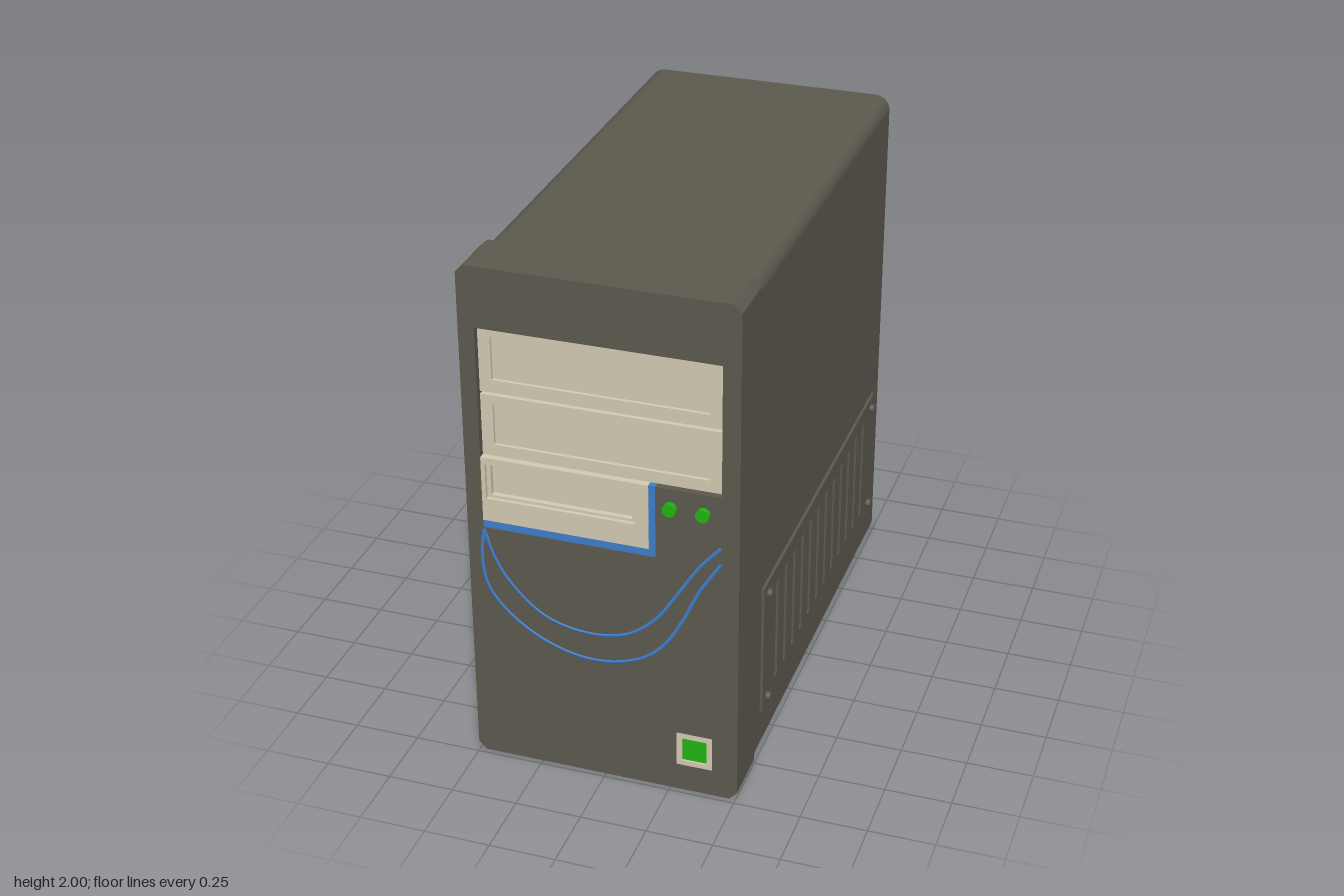
import * as THREE from 'three';

const mat = (color) => new THREE.MeshStandardMaterial({ color });
const CASE = mat(0x5c594e), CREAM = mat(0xd3cbb2), BLUE = mat(0x3f7fcc), GREEN = mat(0x1fb512);

function add(parent, name, geometry, material, x = 0, y = 0, z = 0) {
  const mesh = new THREE.Mesh(geometry, material);
  mesh.name = name;
  mesh.position.set(x, y, z);
  parent.add(mesh);
  return mesh;
}

const polygon = (Type, points) => new Type(points.map(([x, y]) => new THREE.Vector2(x, y)));
const rect = (Type, x0, x1, y0, y1) => polygon(Type, [[x0, y0], [x1, y0], [x1, y1], [x0, y1]]);
const extrude = (shape, depth, curveSegments = 10) =>
  new THREE.ExtrudeGeometry(shape, { depth, bevelEnabled: false, curveSegments });

// Box given by its limits
function block(parent, name, material, x0, x1, y0, y1, z0, z1) {
  return add(parent, name, new THREE.BoxGeometry(x1 - x0, y1 - y0, z1 - z0), material,
    (x0 + x1) / 2, (y0 + y1) / 2, (z0 + z1) / 2);
}

// Plate with a rectangular opening; outer and inner are [x0, x1, y0, y1]
function frame(parent, name, material, outer, inner, z0, z1) {
  const shape = rect(THREE.Shape, ...outer);
  shape.holes.push(rect(THREE.Path, ...inner));
  return add(parent, name, extrude(shape, z1 - z0), material, 0, 0, z0);
}

// Main case: rounded top edges, small chamfers below
function buildBody(root) {
  const w = 0.495, top = 1.988, r = 0.06;
  const s = new THREE.Shape();
  s.moveTo(-w + 0.02, 0.015);
  s.lineTo(w - 0.02, 0.015);
  s.lineTo(w, 0.035);
  s.lineTo(w, top - r);
  s.absarc(w - r, top - r, r, 0, Math.PI / 2, false);
  s.absarc(-w + r, top - r, r, Math.PI / 2, Math.PI, false);
  s.lineTo(-w, 0.035);
  add(root, 'caseBody', extrude(s, 1.78), CASE, 0, 0, -1);
}

// Front bezel: chamfered outline with openings for the drives and the button
function buildBezel(root) {
  const w = 0.505, c = 0.03;
  const s = polygon(THREE.Shape, [[-w + c, 0], [w - c, 0], [w, c], [w, 2 - c],
    [w - c, 2], [-w + c, 2], [-w, 2 - c], [-w, c]]);
  s.holes.push(polygon(THREE.Path, [[-0.445, 0.98], [0.2, 0.98], [0.2, 1.265],
    [0.44, 1.265], [0.44, 1.77], [-0.445, 1.77]]));
  s.holes.push(rect(THREE.Path, 0.275, 0.41, 0.11, 0.25));
  add(root, 'frontBezel', extrude(s, 0.215), CASE, 0, 0, 0.765);
}

function buildDrives(root) {
  // Two wide bay covers, set back in the bezel
  for (const [y0, y1, i0, i1] of [[1.515, 1.77, 1.565, 1.73], [1.265, 1.505, 1.31, 1.47]]) {
    frame(root, 'bayCover', CREAM, [-0.445, 0.44, y0, y1], [-0.4, 0.39, i0, i1], 0.92, 0.955);
    block(root, 'bayPanel', CREAM, -0.42, 0.42, y0 + 0.02, y1 - 0.02, 0.9, 0.942);
  }
  block(root, 'bayGap', CASE, -0.445, 0.44, 1.5, 1.52, 0.9, 0.935);

  // Narrow drive with a stepped slot and a blue L-shaped trim
  frame(root, 'smallDriveCover', CREAM, [-0.445, 0.175, 1.01, 1.265],
    [-0.43, 0.125, 1.1, 1.24], 0.9, 0.98);
  frame(root, 'smallDriveStep', CREAM, [-0.435, 0.13, 1.095, 1.245],
    [-0.415, 0.11, 1.11, 1.23], 0.9, 0.965);
  block(root, 'smallDriveSlot', CREAM, -0.43, 0.12, 1.1, 1.24, 0.89, 0.945);
  const trim = polygon(THREE.Shape, [[-0.445, 0.98], [0.2, 0.98], [0.2, 1.265],
    [0.175, 1.265], [0.175, 1.01], [-0.445, 1.01]]);
  add(root, 'blueTrim', extrude(trim, 0.08), BLUE, 0, 0, 0.898);
}

// Two thin blue lines sweeping across the bezel
function buildSwoosh(root) {
  const lines = [
    [[-0.443, 0.975], [-0.455, 0.86], [-0.44, 0.75], [-0.4, 0.68], [-0.33, 0.61], [-0.24, 0.552],
      [-0.13, 0.511], [-0.03, 0.5], [0.07, 0.515], [0.17, 0.562], [0.24, 0.635], [0.3, 0.74],
      [0.36, 0.87], [0.44, 1.0]],
    [[-0.443, 0.975], [-0.41, 0.87], [-0.36, 0.78], [-0.28, 0.692], [-0.2, 0.64], [-0.1, 0.614],
      [0, 0.613], [0.1, 0.642], [0.2, 0.725], [0.27, 0.828], [0.36, 0.97], [0.44, 1.065]],
  ];
  for (const points of lines) {
    const curve = new THREE.CatmullRomCurve3(points.map(([x, y]) => new THREE.Vector3(x, y, 0)));
    const line = add(root, 'swooshLine', new THREE.TubeGeometry(curve, 60, 0.007, 6), BLUE, 0, 0, 0.98);
    line.scale.z = 0.4;
  }
}

function buildControls(root) {
  // Indicator lights
  for (const x of [0.255, 0.375]) {
    const g = new THREE.CylinderGeometry(0.025, 0.025, 0.04, 20).rotateX(Math.PI / 2);
    add(root, 'indicatorLight', g, GREEN, x, 1.19, 0.98);
  }
  // Power button in its surround
  frame(root, 'buttonSurround', CREAM, [0.275, 0.41, 0.11, 0.25], [0.295, 0.388, 0.13, 0.228], 0.9, 0.98);
  block(root, 'powerButton', GREEN, 0.295, 0.388, 0.13, 0.228, 0.88, 0.972);
}

// Slotted vent plate with four screws, built facing +x for side = 1
function buildVent(root, side) {
  const vent = new THREE.Group();
  vent.name = side > 0 ? 'leftVent' : 'rightVent';
  // The plate is drawn in (z, y) and turned to face outward
  const plate = rect(THREE.Shape, -0.9, 0.67, 0.18, 0.72);
  for (let i = 0; i < 12; i++) {
    const z = 0.503 - i * 0.1115;
    plate.holes.push(rect(THREE.Path, z - 0.016, z + 0.016, 0.235, 0.655));
  }
  const g = extrude(plate, 0.014);
  g.scale(side, 1, 1);
  if (side > 0) g.rotateY(-Math.PI / 2).translate(0.506, 0, 0);
  else {
    // Restore outward winding after the reflection
    const p = g.attributes.position;
    for (let i = 0; i < p.count; i += 3) {
      const a = [p.getX(i), p.getY(i), p.getZ(i)];
      p.setXYZ(i, p.getX(i + 1), p.getY(i + 1), p.getZ(i + 1));
      p.setXYZ(i + 1, ...a);
    }
    g.computeVertexNormals();
    g.rotateY(Math.PI / 2).translate(-0.506, 0, 0);
  }
  add(vent, 'ventPlate', g, CASE);
  for (const z of [0.62, -0.845]) {
    for (const y of [0.22, 0.675]) {
      const screw = new THREE.CylinderGeometry(0.017, 0.017, 0.035, 16).rotateZ(Math.PI / 2);
      add(vent, 'ventScrew', screw, CASE, side * 0.505, y, z);
    }
  }
  root.add(vent);
}

export function createModel() {
  const root = new THREE.Group();
  root.name = 'computerTower';
  buildBody(root);
  buildBezel(root);
  buildDrives(root);
  buildSwoosh(root);
  buildControls(root);
  for (const side of [1, -1]) buildVent(root, side);
  return root;
}
